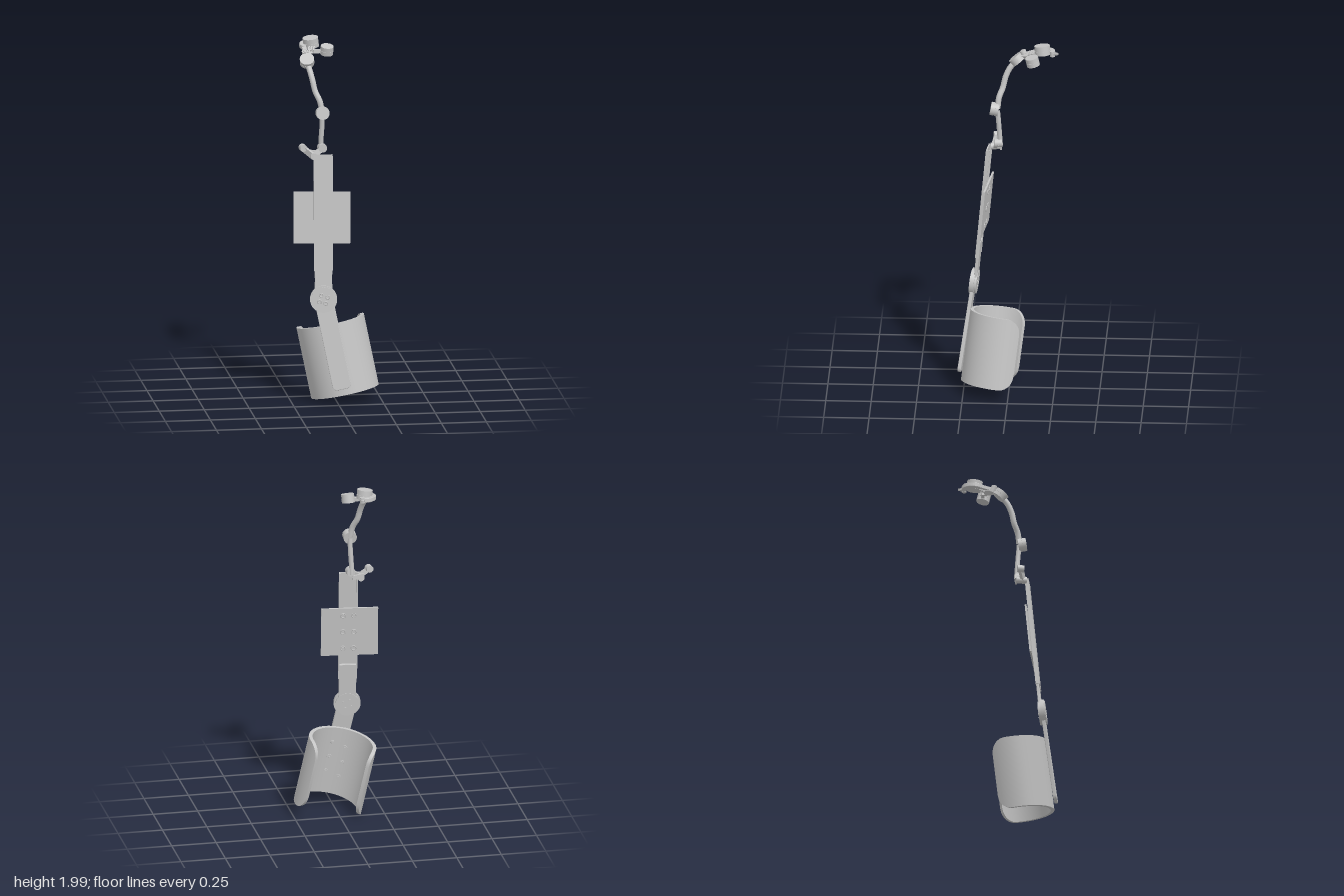
import * as THREE from 'three';
import { toCreasedNormals } from 'three/addons/utils/BufferGeometryUtils.js';

const grey = new THREE.MeshStandardMaterial({ color: 0xc4c4c4 });
grey.name = 'satin grey';
const UP = new THREE.Vector3(0, 1, 0);
const vec = (p) => new THREE.Vector3(...p);

function add(parent, name, geo, pos = [0, 0, 0]) {
  const m = new THREE.Mesh(geo, grey);
  m.name = name;
  m.position.set(...pos);
  parent.add(m);
  return m;
}

function frame(parent, name, pos, rot) {
  const g = new THREE.Group();
  g.name = name;
  g.position.set(...pos);
  g.rotation.set(...rot);
  parent.add(g);
  return g;
}

// Cylinder centred at pos with its axis along dir
function disc(parent, name, pos, dir, r, h, seg = 32) {
  const m = add(parent, name, new THREE.CylinderGeometry(r, r, h, seg), pos);
  m.quaternion.setFromUnitVectors(UP, vec(dir).normalize());
  return m;
}

// Box reaching from a to b, w wide and t thick
function strut(parent, name, a, b, w, t) {
  const A = vec(a), B = vec(b), d = B.clone().sub(A);
  const m = add(parent, name, new THREE.BoxGeometry(w, d.length(), t), A.clone().add(B).multiplyScalar(0.5).toArray());
  m.quaternion.setFromUnitVectors(UP, d.normalize());
  return m;
}

// Curved rod through points
function rod(parent, name, pts, r, seg = 24) {
  return add(parent, name, new THREE.TubeGeometry(new THREE.CatmullRomCurve3(pts.map(vec)), seg, r, 10));
}

// Motor housing: two stacked drums with a thin groove between
function drum(parent, name, pos, dir, r, h) {
  const n = vec(dir).normalize(), at = (k) => vec(pos).addScaledVector(n, k * h).toArray();
  disc(parent, name + 'Cap', at(0.22), dir, r, h * 0.5);
  disc(parent, name + 'Groove', at(0), dir, r * 0.93, h * 0.5);
  disc(parent, name + 'Base', at(-0.28), dir, r, h * 0.44);
}

// Flat plate with rounded lower end
function barShape(w, top, bottom, r) {
  const s = new THREE.Shape(), x = w / 2;
  s.moveTo(-x, top);
  s.lineTo(-x, bottom + r);
  s.quadraticCurveTo(-x, bottom, -x + r, bottom);
  s.lineTo(x - r, bottom);
  s.quadraticCurveTo(x, bottom, x, bottom + r);
  s.lineTo(x, top);
  return s;
}

const slab = (shape, depth) => new THREE.ExtrudeGeometry(shape, {
  depth, bevelEnabled: true, bevelThickness: 0.003, bevelSize: 0.003, bevelSegments: 2, curveSegments: 8,
});

// Open C-shaped shell with rounded flap corners
function cuffGeometry() {
  const rx = 0.19, rz = 0.186, t = 0.02, half = 0.2, corner = 0.085;
  const start = -2.3, end = 2.13, n = 48, pos = [], idx = [];
  for (let i = 0; i <= n; i++) {
    const k = i / n;
    const a = start + (end - start) * (k - Math.sin(2 * Math.PI * k) * 0.13);
    const s = Math.min(corner, Math.min(a - start, end - a) * rx);
    const h = half - corner + Math.sqrt(Math.max(0, corner ** 2 - (corner - s) ** 2));
    for (const [d, y] of [[0, h], [0, -h], [t, -h], [t, h]]) {
      pos.push((rx - d) * Math.sin(a), y, (rz - d) * Math.cos(a));
    }
    if (i === n) break;
    for (let j = 0; j < 4; j++) {
      const p = i * 4 + j, q = i * 4 + (j + 1) % 4;
      idx.push(p, q, q + 4, p, q + 4, p + 4);
    }
  }
  const e = n * 4;
  idx.push(0, 3, 2, 0, 2, 1, e, e + 1, e + 2, e, e + 2, e + 3);
  const g = new THREE.BufferGeometry();
  g.setAttribute('position', new THREE.Float32BufferAttribute(pos, 3));
  g.setIndex(idx);
  return toCreasedNormals(g, 0.5);
}

function buildLower(root) {
  const cuff = frame(root, 'cuffGroup', [0.0175, 0.2425, 0.055], [-0.127, 0, 0.19]);
  add(cuff, 'cuff', cuffGeometry());
  // Fasteners on the inside of the cuff
  for (let r = 0; r < 3; r++) for (const a of [-0.42, 0.02]) {
    const n = [Math.sin(a), 0, Math.cos(a)];
    const y = 0.11 - r * 0.09 - (a < 0 ? 0.02 : 0);
    disc(cuff, 'cuffScrew', [n[0] * 0.168, y, n[2] * 0.164], n, 0.014, 0.008, 16);
    disc(cuff, 'cuffScrewHead', [n[0] * 0.164, y, n[2] * 0.16], n, 0.007, 0.01, 6);
  }
  const lower = frame(root, 'lowerBarGroup', [-0.08, 0.6, 0.2], [-0.127, -0.11, 0.19]);
  add(lower, 'lowerBar', slab(barShape(0.098, 0, -0.508, 0.026), 0.014), [0, 0, -0.009]);
}

function buildUpper(root) {
  const arm = frame(root, 'upperBarGroup', [-0.08, 0.6, 0.2], [-0.095, -0.11, 0]);
  arm.rotation.order = 'YXZ';

  // Hinge with bolt pattern
  disc(arm, 'hingeDisc', [0, 0, 0.001], [0, 0, 1], 0.075, 0.022, 48);
  disc(arm, 'hingeRim', [0, 0, 0.009], [0, 0, 1], 0.068, 0.014, 48);
  disc(arm, 'hingeBack', [0, 0, -0.016], [0, 0, 1], 0.066, 0.014, 48);
  for (let i = 0; i < 4; i++) {
    const a = i * Math.PI / 2 + 0.5;
    const x = 0.026 * Math.cos(a), y = 0.026 * Math.sin(a);
    add(arm, 'hingeBolt', new THREE.TorusGeometry(0.01, 0.003, 6, 16), [x, y, 0.016]);
    disc(arm, 'hingeBackBolt', [x, y, -0.024], [0, 0, 1], 0.007, 0.006, 12);
  }

  // Shank rising into the channel
  const s = new THREE.Shape();
  s.moveTo(-0.055, 0);
  s.lineTo(0.055, 0);
  s.quadraticCurveTo(0.04, 0.06, 0.047, 0.17);
  s.lineTo(0.047, 0.24);
  s.lineTo(-0.047, 0.24);
  s.lineTo(-0.047, 0.17);
  s.quadraticCurveTo(-0.04, 0.06, -0.055, 0);
  add(arm, 'shank', slab(s, 0.01), [0, 0, -0.017]);

  // U-shaped channel, open at the back
  add(arm, 'channelFace', new THREE.BoxGeometry(0.105, 0.645, 0.007), [0, 0.48, -0.0035]);
  for (const k of [-1, 1]) {
    add(arm, 'channelFlange', new THREE.BoxGeometry(0.007, 0.645, 0.022), [k * 0.049, 0.48, -0.011]);
  }

  // Mounting plate and its screws
  add(arm, 'mountingPlate', new THREE.BoxGeometry(0.315, 0.287, 0.01), [-0.007, 0.45, -0.026]);
  for (let r = -1; r <= 1; r++) for (const k of [-1, 1]) {
    const p = [k * 0.03, 0.45 + r * 0.1, -0.032];
    add(arm, 'plateScrew', new THREE.TorusGeometry(0.013, 0.003, 6, 18), p);
    disc(arm, 'plateScrewHead', p, [0, 0, 1], 0.007, 0.004, 12);
  }
}

function buildChain(root) {
  const chain = frame(root, 'linkChain', [0, 0, 0], [0, 0, 0]);

  // V-shaped clevis above the channel
  strut(chain, 'clevisLeftArm', [-0.18, 1.43, 0.075], [-0.125, 1.385, 0.09], 0.032, 0.018);
  strut(chain, 'clevisRightArm', [-0.125, 1.385, 0.085], [-0.055, 1.43, 0.07], 0.03, 0.018);
  disc(chain, 'clevisLeftPin', [-0.178, 1.43, 0.075], [0.15, 0, 1], 0.02, 0.035, 20);
  disc(chain, 'clevisCentrePin', [-0.125, 1.385, 0.078], [0.15, 0, 1], 0.019, 0.06, 20);
  disc(chain, 'clevisRightPin', [-0.07, 1.425, 0.065], [0.1, 0, 1], 0.024, 0.04, 20);
  strut(chain, 'clevisEar', [-0.145, 1.4, 0.05], [-0.08, 1.39, 0.05], 0.025, 0.012);

  // First link and wrist motor
  rod(chain, 'firstLink', [[-0.075, 1.41, 0.052], [-0.074, 1.48, 0.057], [-0.07, 1.55, 0.062], [-0.07, 1.62, 0.068]], 0.014);
  drum(chain, 'lowerMotor', [-0.07, 1.625, 0.085], [0, 0.18, 1], 0.037, 0.046);

  // Second, curved link and middle motor
  rod(chain, 'secondLink', [[-0.07, 1.63, 0.068], [-0.083, 1.69, 0.06], [-0.105, 1.74, 0.04],
    [-0.118, 1.8, 0.025], [-0.13, 1.85, 0.0], [-0.14, 1.885, -0.035]], 0.016, 32);
  drum(chain, 'middleMotor', [-0.14, 1.895, -0.035], [-0.1, 0.75, 0.65], 0.04, 0.04);
  disc(chain, 'middlePivot', [-0.145, 1.925, -0.075], [-0.1, 0.85, 0.4], 0.018, 0.04, 20);
  add(chain, 'middlePivotRing', new THREE.TorusGeometry(0.011, 0.003, 6, 18).rotateX(-Math.PI / 2 + 0.35), [-0.146, 1.944, -0.067]);

  // Knuckle with parallel fingers
  strut(chain, 'knuckleRoot', [-0.145, 1.915, -0.07], [-0.11, 1.925, -0.12], 0.03, 0.028);
  for (let i = -1; i <= 1; i++) {
    strut(chain, 'knuckleFinger', [-0.112 + i * 0.014, 1.93, -0.1], [-0.1 + i * 0.014, 1.945, -0.15], 0.008, 0.024);
  }
  strut(chain, 'sideArm', [-0.1, 1.925, -0.13], [-0.03, 1.925, -0.135], 0.022, 0.018);

  // Drums at the tip
  drum(chain, 'upperMotor', [-0.1, 1.968, -0.178], [-0.12, 0.97, 0.1], 0.043, 0.054);
  drum(chain, 'sideMotor', [-0.017, 1.932, -0.127], [0.05, 0.95, 0.22], 0.036, 0.05);

  // Hooked bracket sweeping around the upper motor
  const hook = new THREE.Shape();
  hook.absarc(0, 0, 0.068, 1.45, 3.75, false);
  hook.absarc(0, 0, 0.046, 3.75, 1.45, true);
  const bracket = add(chain, 'hookBracket', slab(hook, 0.018).rotateX(-Math.PI / 2), [-0.092, 1.94, -0.18]);
  bracket.rotation.x = 0.1;
  strut(chain, 'hookRoot', [-0.14, 1.925, -0.08], [-0.143, 1.945, -0.15], 0.024, 0.018);
  disc(chain, 'hookPin', [-0.076, 1.955, -0.235], [0, 1, 0.05], 0.014, 0.03, 20);
  const tip = add(chain, 'hookTip', new THREE.CylinderGeometry(0.019, 0.019, 0.012, 3), [-0.076, 1.955, -0.25]);
  tip.rotation.y = Math.PI;
}

export function createModel() {
  const root = new THREE.Group();
  root.name = 'armBrace';
  buildLower(root);
  buildUpper(root);
  buildChain(root);
  return root;
}
